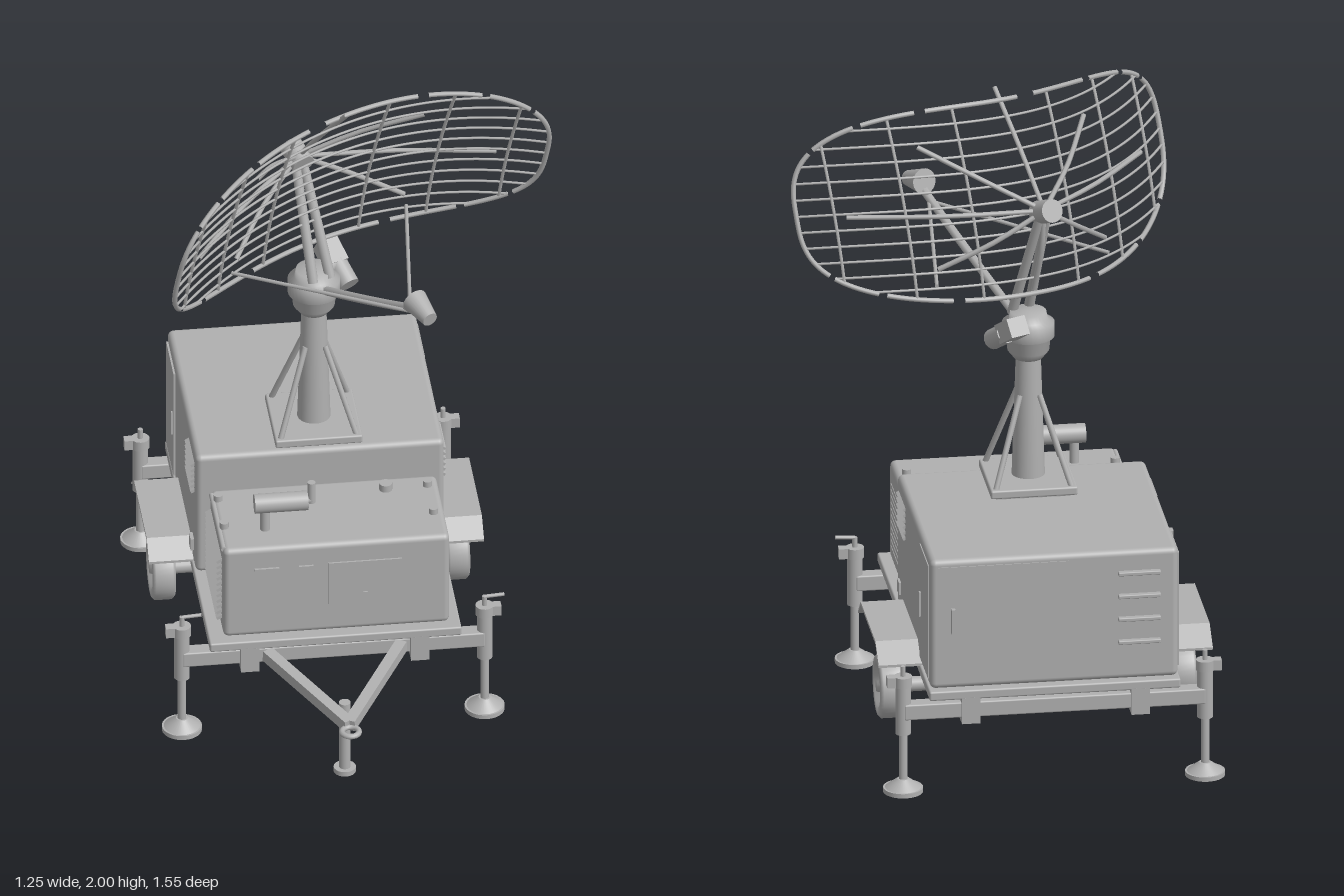
import * as THREE from 'three';
import { RoundedBoxGeometry } from 'three/addons/geometries/RoundedBoxGeometry.js';

const V = (x, y, z) => new THREE.Vector3(x, y, z);

export function createModel() {
  const model = new THREE.Group();
  const grey = new THREE.MeshStandardMaterial({ color: 0xb0b0b0 });
  grey.name = 'paintedGrey';
  const CX = -0.107; // centre line of the trailer

  const add = (name, geo, parent = model) => {
    const m = new THREE.Mesh(geo, grey);
    m.name = name;
    parent.add(m);
    return m;
  };
  const group = (name) => {
    const g = new THREE.Group();
    g.name = name;
    model.add(g);
    return g;
  };
  // Box from its limits, optionally with rounded edges
  const box = (name, x0, x1, y0, y1, z0, z1, r = 0, parent = model) => {
    const s = [x1 - x0, y1 - y0, z1 - z0];
    const m = add(name, r ? new RoundedBoxGeometry(...s, 3, r) : new THREE.BoxGeometry(...s), parent);
    m.position.set((x0 + x1) / 2, (y0 + y1) / 2, (z0 + z1) / 2);
    return m;
  };
  // Round bar from a to b
  const rod = (name, a, b, ra, rb = ra, parent = model, sides = 20) => {
    const m = add(name, new THREE.CylinderGeometry(rb, ra, a.distanceTo(b), sides), parent);
    m.position.copy(a).lerp(b, 0.5);
    m.quaternion.setFromUnitVectors(V(0, 1, 0), b.clone().sub(a).normalize());
    return m;
  };
  // Square bar from a to b
  const beam = (name, a, b, w, h, parent = model) => {
    const m = add(name, new THREE.BoxGeometry(w, h, a.distanceTo(b)), parent);
    m.position.copy(a).lerp(b, 0.5);
    m.quaternion.setFromUnitVectors(V(0, 0, 1), b.clone().sub(a).normalize());
    return m;
  };
  const wire = (name, pts, r, parent) =>
    add(name, new THREE.TubeGeometry(new THREE.CatmullRomCurve3(pts), pts.length * 2, r, 6), parent);

  // Chassis
  box('deck', -0.49, 0.28, 0.305, 0.335, -0.76, 0.36, 0.006);
  for (const s of [-1, 1]) {
    const x = CX + s * 0.26;
    box('chassisRail', x - 0.028, x + 0.028, 0.225, 0.31, -0.76, 0.36);
    box('axleHanger', x - 0.028, x + 0.028, 0.185, 0.23, -0.39, -0.23);
  }
  for (const z of [0.31, -0.72]) box('outrigger', -0.57, 0.355, 0.24, 0.29, z - 0.025, z + 0.025, 0.005);

  // Axle, wheels and fenders
  rod('axle', V(-0.53, 0.178, -0.31), V(0.32, 0.178, -0.31), 0.023);
  const wheelProfile = [[0.001, 0.036], [0.018, 0.036], [0.02, 0.024], [0.04, 0.022], [0.043, 0.01], [0.062, 0.01],
    [0.066, 0.034], [0.09, 0.035], [0.1, 0.026], [0.1, -0.026], [0.09, -0.035], [0.06, -0.035], [0.055, -0.02], [0.001, -0.02]]
    .map(([r, y]) => new THREE.Vector2(r, y)).reverse();
  const fender = new THREE.Shape();
  [[0.1, 0.332], [0.155, 0.382], [0.47, 0.382], [0.54, 0.332], [0.54, 0.34], [0.47, 0.392], [0.155, 0.392], [0.1, 0.34]]
    .forEach(([z, y], i) => (i ? fender.lineTo(z, y) : fender.moveTo(z, y)));
  for (const s of [-1, 1]) {
    const w = add('wheel', new THREE.LatheGeometry(wheelProfile, 40));
    w.position.set(CX + s * 0.45, 0.178, -0.31);
    w.rotation.z = -s * Math.PI / 2;
    const f = add('fender', new THREE.ExtrudeGeometry(fender, { depth: 0.14, bevelEnabled: false }));
    f.rotation.y = Math.PI / 2;
    f.position.x = s < 0 ? -0.62 : 0.265;
  }

  // Corner jacks, with cranks on the front pair
  for (const s of [-1, 1]) for (const z of [0.31, -0.72]) {
    const x = CX + s * 0.463;
    const jack = group('cornerJack');
    rod('jackTube', V(x, 0.19, z), V(x, 0.375, z), 0.024, 0.024, jack);
    rod('jackRod', V(x, 0.03, z), V(x, 0.2, z), 0.013, 0.013, jack);
    rod('jackFoot', V(x, 0, z), V(x, 0.014, z), 0.061, 0.061, jack, 32);
    rod('jackFootCone', V(x, 0.014, z), V(x, 0.042, z), 0.055, 0.018, jack, 32);
    rod('jackCollar', V(x, 0.345, z), V(x, 0.378, z), 0.028, 0.028, jack);
    rod('crankPost', V(x, 0.375, z), V(x, 0.41, z), 0.008, 0.008, jack, 10);
    if (z > 0) rod('crankHandle', V(x, 0.408, z), V(x + 0.06, 0.412, z), 0.006, 0.006, jack, 10);
    box('jackBracket', Math.min(x, x + s * 0.05), Math.max(x, x + s * 0.05), 0.345, 0.378, z - 0.015, z + 0.015, 0, jack);
  }

  // Drawbar with ring and nose jack
  for (const s of [-1, 1]) beam('drawbar', V(CX + s * 0.205, 0.272, 0.34), V(CX, 0.242, 0.71), 0.035, 0.036);
  const ring = add('towRing', new THREE.TorusGeometry(0.026, 0.009, 10, 28));
  ring.rotation.x = Math.PI / 2;
  ring.position.set(CX, 0.236, 0.737);
  rod('noseJack', V(CX, 0.01, 0.595), V(CX, 0.25, 0.595), 0.018);
  rod('noseJackFoot', V(CX, 0, 0.595), V(CX, 0.016, 0.595), 0.034);

  // Equipment cabin with vents, doors and handles
  box('cabin', -0.485, 0.275, 0.335, 0.757, -0.74, -0.032, 0.018);
  for (const s of [-1, 1]) {
    const x = CX + s * 0.382;
    for (let i = 0; i < 6; i++) {
      const slat = box('cabinVentSlat', x - 0.008, x + 0.008, 0.608 + i * 0.019, 0.617 + i * 0.019, -0.205, -0.065);
      slat.rotation.z = -s * 0.5;
    }
    box('sideDoor', x - 0.003, x + 0.003, 0.36, 0.73, -0.71, -0.53);
    box('sideDoorHandle', x - 0.008, x + 0.008, 0.5, 0.58, -0.555, -0.545);
    box('sideSocket', x - 0.007, x + 0.007, 0.39, 0.43, -0.115, -0.075);
  }
  for (let i = 0; i < 4; i++)
    box('rearVentSlit', -0.43, -0.3, 0.455 + i * 0.075, 0.467 + i * 0.075, -0.757, -0.735, 0.003);
  box('rearDoor', -0.15, 0.25, 0.36, 0.735, -0.743, -0.737);
  box('rearDoorHandle', 0.2, 0.212, 0.52, 0.6, -0.757, -0.74);

  // Generator with louvres, panel and lifting lugs
  box('generator', -0.445, 0.247, 0.335, 0.653, -0.01, 0.33, 0.018);
  for (const s of [-1, 1]) {
    const x = CX + s * 0.345;
    for (let i = 0; i < 11; i++) {
      const slat = box('generatorLouvre', x - 0.01, x + 0.01, 0.38 + i * 0.0205, 0.389 + i * 0.0205, 0.015, 0.29);
      slat.rotation.z = -s * 0.5;
    }
    for (const z of [0.05, 0.2]) rod('liftingLug', V(CX + s * 0.32, 0.645, z), V(CX + s * 0.32, 0.672, z), 0.014);
    rod('topRail', V(CX + s * 0.335, 0.645, 0.01), V(CX + s * 0.335, 0.645, 0.31), 0.008);
  }
  box('controlPanel', -0.125, 0.1, 0.435, 0.585, 0.329, 0.336);
  box('panelLatch', -0.02, -0.005, 0.455, 0.475, 0.333, 0.341);
  box('frontSlot', -0.35, -0.275, 0.572, 0.581, 0.326, 0.337);
  box('frontSlot', -0.215, -0.17, 0.572, 0.581, 0.326, 0.337);
  rod('fillerCap', V(0.085, 0.645, 0.055), V(0.085, 0.676, 0.055), 0.02);

  // Exhaust silencer
  rod('silencer', V(-0.338, 0.747, 0.225), V(-0.175, 0.747, 0.225), 0.03, 0.03, model, 32);
  rod('silencerStand', V(-0.305, 0.64, 0.225), V(-0.305, 0.74, 0.225), 0.015);
  rod('exhaustElbow', V(-0.18, 0.747, 0.225), V(-0.16, 0.752, 0.225), 0.012);
  rod('exhaustOutlet', V(-0.163, 0.74, 0.225), V(-0.163, 0.812, 0.225), 0.012);

  // Mast with braced foot
  const MZ = -0.17;
  box('mastBase', CX - 0.133, CX + 0.133, 0.765, 0.792, MZ - 0.133, MZ + 0.133, 0.006);
  box('mastBaseFoot', CX - 0.115, CX + 0.115, 0.75, 0.768, MZ - 0.115, MZ + 0.115);
  rod('mast', V(CX, 0.785, MZ), V(CX, 1.19, MZ), 0.051, 0.038, model, 32);
  for (const sx of [-1, 1]) for (const sz of [-1, 1])
    rod('mastBrace', V(CX + sx * 0.115, 0.79, MZ + sz * 0.115), V(CX + sx * 0.03, 1.06, MZ + sz * 0.03), 0.009, 0.009, model, 10);

  // Turning head, rotated to the antenna's heading
  const head = group('antennaHead');
  head.position.set(CX, 0, MZ);
  head.rotation.y = 0.427;
  add('turntable', new THREE.LatheGeometry([[0.001, 1.175], [0.045, 1.175], [0.064, 1.2], [0.068, 1.24], [0.08, 1.245],
    [0.08, 1.29], [0.06, 1.3], [0.055, 1.325], [0.001, 1.325]].map(([r, y]) => new THREE.Vector2(r, y)), 32), head);
  beam('driveGearbox', V(0.1, 1.285, -0.03), V(0.1, 1.33, -0.1), 0.065, 0.06, head);
  rod('driveMotor', V(0.108, 1.245, 0.03), V(0.105, 1.29, -0.04), 0.032, 0.032, head);
  rod('motorMount', V(0.03, 1.29, -0.02), V(0.1, 1.295, -0.04), 0.025, 0.025, head);

  // Reflector surface: forward distance at a given width and height, with a slight wave
  const MID = 1.68, HW = 0.655, HH = 0.285, POWER = 3;
  const surf = (u, y) => {
    const d = y - MID;
    return V(u, y + 0.06 * u * (1 - (u / HW) ** 2), 0.038 + 0.57 * u * u + 0.33 * d + 0.25 * d * d);
  };
  const limit = (t) => Math.pow(1 - Math.pow(Math.abs(t), POWER), 1 / POWER);

  // Rim in separate lengths with small gaps
  const bulge = (c) => Math.sign(c) * Math.pow(Math.abs(c), 2 / POWER);
  const rimPoint = (a) => surf(HW * bulge(Math.cos(a)), MID + HH * bulge(Math.sin(a)));
  const cuts = [-0.55, 0.55, 0.95, 1.3, 1.62, 1.95, 2.3, 2.62, 3.7, 4.1, 4.5, 4.95, 5.35, 2 * Math.PI - 0.55];
  for (let i = 0; i < cuts.length - 1; i++) {
    const pts = [];
    for (let k = 0; k <= 16; k++) pts.push(rimPoint(THREE.MathUtils.lerp(cuts[i] + 0.025, cuts[i + 1] - 0.025, k / 16)));
    wire('reflectorRim', pts, 0.008, head);
  }
  // Horizontal wires and upright ribs
  for (let i = 1; i < 12; i++) {
    const t = -1 + i / 6, w = HW * limit(t), pts = [];
    for (let k = 0; k <= 20; k++) pts.push(surf(w * (k / 10 - 1), MID + HH * t));
    wire('reflectorWire', pts, 0.0042, head);
  }
  for (const u of [-0.56, -0.37, -0.17, 0.17, 0.37, 0.56]) {
    const h = HH * limit(u / HW), pts = [];
    for (let k = 0; k <= 10; k++) pts.push(surf(u, MID + h * (k / 5 - 1)));
    wire('reflectorRib', pts, 0.0055, head);
  }

  // Hub and spokes behind the reflector
  const hub = V(0, 1.685, -0.09);
  rod('hub', V(0, 1.7, -0.135), V(0, 1.67, -0.06), 0.036, 0.036, head, 28);
  for (const s of [-1, 1]) {
    for (const [u, y] of [[0.3, 1.86], [0.3, 1.5], [0.53, 1.67]]) {
      const end = surf(s * u, y);
      const mid = hub.clone().lerp(end, 0.5);
      mid.z -= 0.02;
      wire('spoke', [hub, mid, end], 0.008, head);
    }
    rod('hubArm', V(s * 0.03, 1.31, 0.045), V(s * 0.012, 1.68, -0.09), 0.016, 0.014, head, 12);
  }
  wire('spoke', [hub, V(0, 1.83, 0.035), V(0, 1.994, 0.19)], 0.008, head);
  wire('spoke', [hub, V(0, 1.55, -0.075), surf(0, 1.41)], 0.008, head);

  // Feed boom, stays and horn
  wire('feedBoom', [V(0, 1.28, 0.06), V(0, 1.37, 0.27), V(0, 1.455, 0.46), V(0, 1.53, 0.62)], 0.014, head);
  for (const s of [-1, 1]) rod('feedStay', V(0, 1.49, 0.56), surf(s * 0.31, 1.45), 0.006, 0.006, head, 8);
  rod('feedHorn', V(0, 1.545, 0.585), V(0, 1.525, 0.675), 0.04, 0.024, head, 24);

  return model;
}
